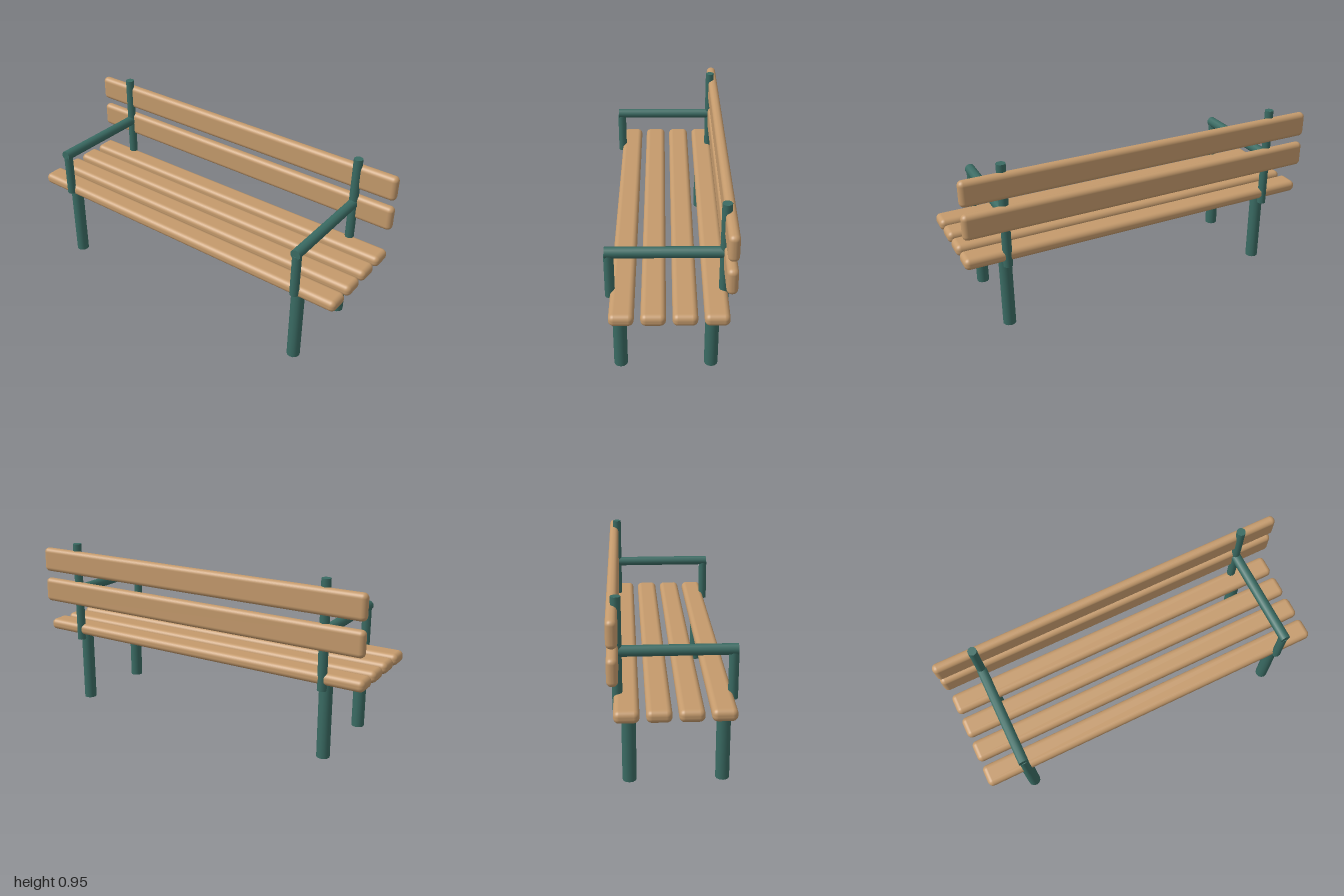
import * as THREE from 'three';
import { RoundedBoxGeometry } from 'three/addons/geometries/RoundedBoxGeometry.js';

const wood = new THREE.MeshStandardMaterial({ color: 0xc49a6c });
const metal = new THREE.MeshStandardMaterial({ color: 0x3a6b63 });

export function createModel() {
  const bench = new THREE.Group();
  bench.name = 'bench';

  const add = (name, geometry, material, x, y, z) => {
    const mesh = new THREE.Mesh(geometry, material);
    mesh.name = name;
    mesh.position.set(x, y, z);
    bench.add(mesh);
    return mesh;
  };

  // Upright tube from y0 to y1
  const post = (name, r, sides, x, y0, y1, z) =>
    add(name, new THREE.CylinderGeometry(r, r, y1 - y0, sides), metal, x, (y0 + y1) / 2, z);

  // Four seat slats
  const seatSlat = new RoundedBoxGeometry(2, 0.063, 0.12, 4, 0.027);
  for (let i = 0; i < 4; i++) {
    add(`seatSlat${i + 1}`, seatSlat, wood, 0, 0.441, 0.227 - i * 0.15);
  }

  // Two backrest slats, fixed behind the back posts
  const backSlat = new RoundedBoxGeometry(2, 0.138, 0.054, 4, 0.0255);
  add('lowerBackSlat', backSlat, wood, 0, 0.661, -0.283);
  add('upperBackSlat', backSlat, wood, 0, 0.841, -0.283);

  // Frame on each side
  for (const [side, x] of [['left', 0.777], ['right', -0.777]]) {
    post(`${side}FrontLeg`, 0.035, 12, x, 0, 0.43, 0.247);
    post(`${side}BackLeg`, 0.035, 12, x, 0, 0.43, -0.213);
    post(`${side}BackPost`, 0.0245, 10, x, 0.38, 0.95, -0.264);
    post(`${side}ArmPost`, 0.0245, 10, x, 0.43, 0.67, 0.288);

    const armRest = new THREE.CylinderGeometry(0.028, 0.028, 0.565, 10);
    add(`${side}ArmRest`, armRest, metal, x, 0.682, 0.025).rotation.x = Math.PI / 2;
  }

  return bench;
}
